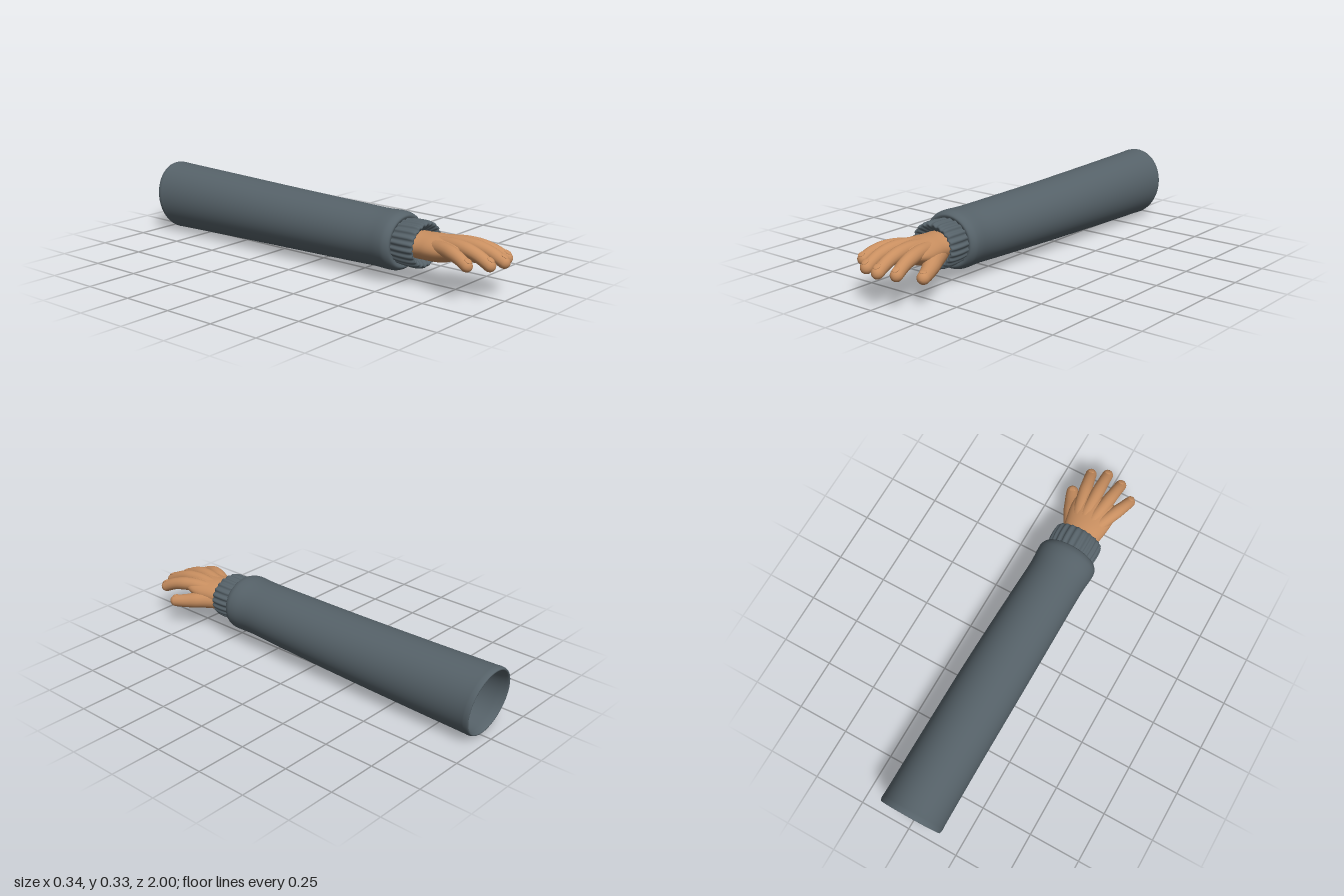
import * as THREE from 'three';

const V = (x, y, z) => new THREE.Vector3(x, y, z);

// Skin a list of closed rings of points into one smooth surface
function skinRings(rings) {
  const n = rings[0].length, pos = [], idx = [];
  rings.forEach(r => r.forEach(p => pos.push(p.x, p.y, p.z)));
  for (let i = 0; i < rings.length - 1; i++) {
    for (let j = 0; j < n; j++) {
      const k = (j + 1) % n, a = i * n, b = a + n;
      idx.push(a + j, a + k, b + j, a + k, b + k, b + j);
    }
  }
  const g = new THREE.BufferGeometry();
  g.setAttribute('position', new THREE.Float32BufferAttribute(pos, 3));
  g.setIndex(idx);
  g.computeVertexNormals();
  return g;
}

// Loft along z through sections [x, y, z, rx, ry, slant]; wave(angle) scales the outline
function loft(sections, n, sub, wave = () => 1) {
  const path = new THREE.CatmullRomCurve3(sections.map(s => V(s[0], s[1], s[2])), false, 'catmullrom', 0.5);
  const size = new THREE.CatmullRomCurve3(sections.map(s => V(s[3], s[4], s[5] || 0)), false, 'catmullrom', 0.5);
  const rings = [], steps = (sections.length - 1) * sub;
  for (let i = 0; i <= steps; i++) {
    const c = path.getPoint(i / steps), s = size.getPoint(i / steps), ring = [];
    for (let j = 0; j < n; j++) {
      const a = j / n * Math.PI * 2, w = wave(a);
      ring.push(V(c.x + Math.cos(a) * s.x * w, c.y + Math.sin(a) * s.y * w, c.z - s.z * Math.sin(a)));
    }
    rings.push(ring);
  }
  return skinRings(rings);
}

// Finger: tapered tube along a curve with a domed tip
function fingerShape(curve, r0, r1) {
  const rings = [], n = 18, length = curve.getLength(), tip = r1 / length;
  const us = [];
  for (let i = 0; i <= 14; i++) us.push(i / 14 * (1 - tip));
  for (let i = 1; i <= 7; i++) us.push(1 - tip + tip * Math.sin(i / 7 * Math.PI / 2));
  for (const u of us) {
    const c = curve.getPointAt(u), t = curve.getTangentAt(u);
    const side = V(0, 1, 0).cross(t).normalize(), up = t.clone().cross(side);
    const d = Math.min(1, (1 - u) / tip);
    // slight swelling at the joint
    const joint = 1 + 0.05 * Math.exp(-(((u - 0.5) / 0.1) ** 2));
    const r = (r0 + (r1 - r0) * u) * joint * Math.max(0.001, Math.sqrt(1 - (1 - d) ** 2));
    const ring = [];
    for (let j = 0; j < n; j++) {
      const a = j / n * Math.PI * 2;
      ring.push(c.clone().addScaledVector(side, Math.cos(a) * r).addScaledVector(up, Math.sin(a) * r));
    }
    rings.push(ring);
  }
  return skinRings(rings);
}

export function createModel() {
  const model = new THREE.Group();
  model.name = 'sleevedArm';
  const cloth = new THREE.MeshStandardMaterial({ color: 0x566269 });
  cloth.name = 'slateCloth';
  const skin = new THREE.MeshStandardMaterial({ color: 0xc98f60 });
  skin.name = 'skin';
  const add = (name, geometry, material, parent = model) => {
    const mesh = new THREE.Mesh(geometry, material);
    mesh.name = name;
    parent.add(mesh);
    return mesh;
  };

  // Hollow sleeve: inner lining, rolled rear hem, outer wall, rounded front hem
  add('sleeve', loft([
    [-0.02, 0.175, 0.40, 0.001, 0.001],
    [-0.02, 0.175, 0.39, 0.10, 0.10],
    [-0.02, 0.175, 0.30, 0.122, 0.115],
    [-0.012, 0.17, -0.30, 0.13, 0.135, 0.006],
    [-0.007, 0.168, -0.85, 0.134, 0.146, 0.02],
    [-0.007, 0.168, -0.955, 0.138, 0.15, 0.025],
    [-0.007, 0.168, -0.973, 0.147, 0.16, 0.025],
    [-0.007, 0.168, -0.955, 0.154, 0.167, 0.025],
    [-0.007, 0.168, -0.90, 0.153, 0.165, 0.02],
    [-0.007, 0.168, -0.60, 0.152, 0.157, 0.01],
    [-0.010, 0.169, -0.20, 0.151, 0.146],
    [-0.017, 0.172, 0.20, 0.145, 0.137],
    [-0.021, 0.174, 0.36, 0.143, 0.133],
    [-0.022, 0.175, 0.44, 0.148, 0.135],
    [-0.022, 0.175, 0.475, 0.146, 0.132],
    [-0.022, 0.176, 0.497, 0.130, 0.118],
    [-0.022, 0.177, 0.49, 0.105, 0.095],
  ], 64, 5), cloth);

  // Ribbed knit cuff
  const rib = a => 1 + 0.03 * Math.max(-1, Math.min(1, 2 * Math.sin(22 * a)));
  add('cuff', loft([
    [-0.019, 0.178, 0.46, 0.112, 0.098],
    [-0.019, 0.178, 0.50, 0.117, 0.101],
    [-0.018, 0.178, 0.54, 0.121, 0.104],
    [-0.018, 0.178, 0.585, 0.120, 0.104],
    [-0.018, 0.178, 0.604, 0.113, 0.097],
    [-0.018, 0.178, 0.60, 0.100, 0.084],
    [-0.018, 0.178, 0.57, 0.084, 0.060],
  ], 176, 3, rib), cloth);

  const hand = new THREE.Group();
  hand.name = 'hand';
  model.add(hand);

  // Wrist and palm
  add('palm', loft([
    [-0.018, 0.176, 0.50, 0.086, 0.062],
    [-0.016, 0.177, 0.60, 0.090, 0.061],
    [-0.015, 0.179, 0.66, 0.101, 0.061],
    [-0.013, 0.182, 0.72, 0.110, 0.057],
    [-0.014, 0.190, 0.77, 0.111, 0.047],
    [-0.015, 0.195, 0.81, 0.098, 0.034],
    [-0.015, 0.196, 0.83, 0.060, 0.018],
    [-0.015, 0.196, 0.833, 0.001, 0.001],
  ], 40, 5), skin, hand);

  // Fingers and thumb: path points, base radius, tip radius
  const digits = [
    ['littleFinger', [[-0.07, 0.195, 0.69], [-0.105, 0.203, 0.77], [-0.133, 0.19, 0.85], [-0.147, 0.156, 0.918]], 0.034, 0.026],
    ['ringFinger', [[-0.035, 0.205, 0.69], [-0.05, 0.214, 0.79], [-0.059, 0.196, 0.89], [-0.062, 0.150, 0.981]], 0.034, 0.027],
    ['middleFinger', [[0.005, 0.205, 0.69], [0.009, 0.214, 0.79], [0.016, 0.197, 0.90], [0.024, 0.150, 1.0]], 0.034, 0.027],
    ['indexFinger', [[0.035, 0.197, 0.69], [0.06, 0.203, 0.78], [0.083, 0.186, 0.88], [0.102, 0.146, 0.966]], 0.035, 0.027],
    ['thumb', [[0.02, 0.158, 0.61], [0.075, 0.148, 0.70], [0.118, 0.133, 0.78], [0.15, 0.122, 0.855]], 0.048, 0.027],
  ];
  for (const [name, pts, r0, r1] of digits) {
    const curve = new THREE.CatmullRomCurve3(pts.map(p => V(...p)));
    add(name, fingerShape(curve, r0, r1), skin, hand);
    // Nail lying on the upper side near the tip
    const t = curve.getTangentAt(0.88);
    const up = t.clone().cross(V(0, 1, 0).cross(t).normalize());
    const nail = add(name + 'Nail', new THREE.SphereGeometry(1, 16, 10), skin, hand);
    nail.scale.set(0.016, 0.0045, 0.018);
    nail.position.copy(curve.getPointAt(0.88)).addScaledVector(up, r1 * 0.97);
    nail.lookAt(nail.position.clone().add(t));
  }
  return model;
}
